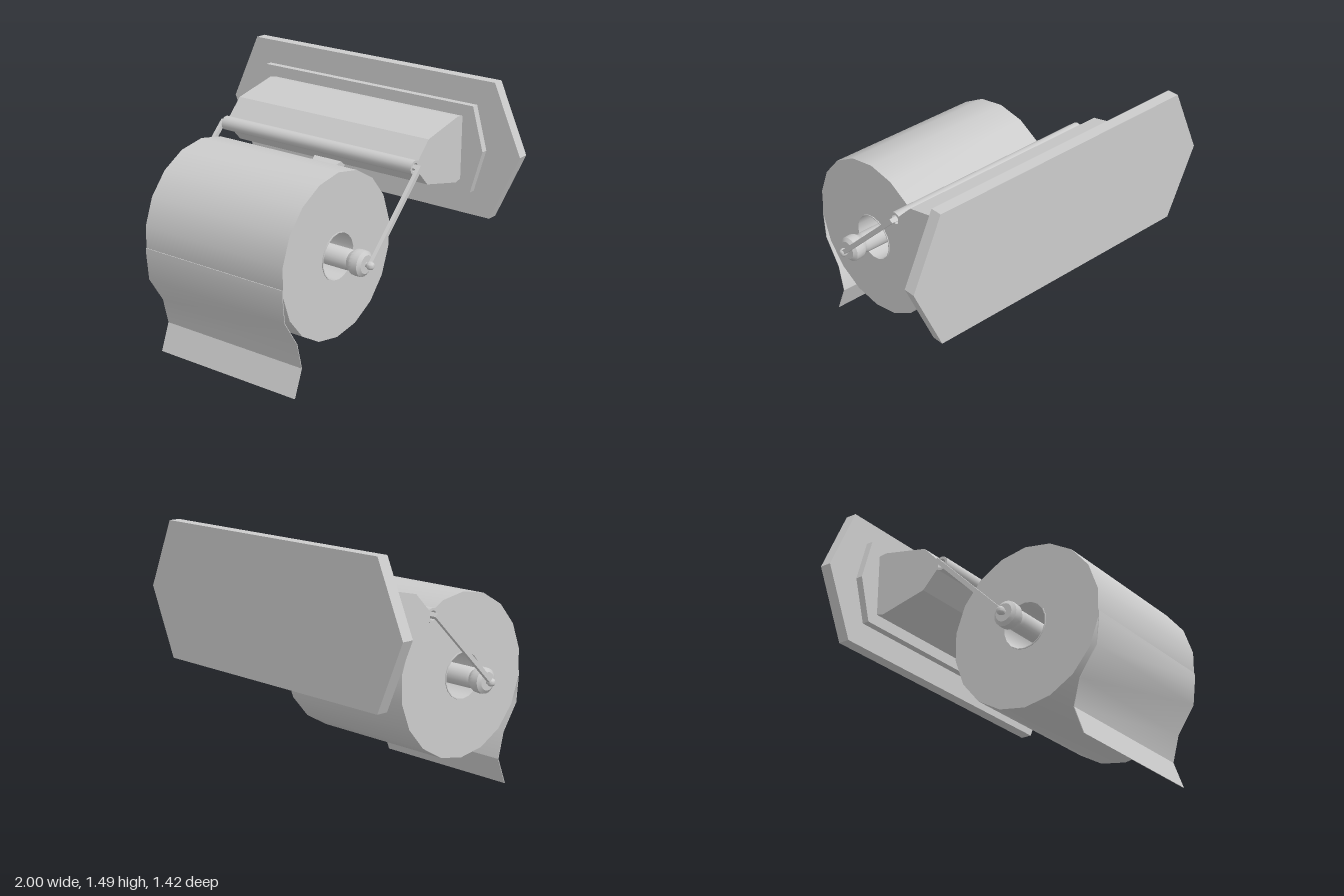
import * as THREE from 'three';
import { toCreasedNormals } from 'three/addons/utils/BufferGeometryUtils.js';

const ROLL_Y = 0.685, ROLL_Z = 0.255; // roll axis
const ROD_Y = 1.1, ROD_Z = -0.163;    // hinge axis

export function createModel() {
  const group = new THREE.Group();
  const material = new THREE.MeshStandardMaterial({ color: 0xcccccc });

  function add(name, geometry, x = 0, y = 0, z = 0, crease = 0.55) {
    const mesh = new THREE.Mesh(toCreasedNormals(geometry, crease), material);
    mesh.name = name;
    mesh.position.set(x, y, z);
    group.add(mesh);
    return mesh;
  }

  // Six-sided plate facing +z
  function plate(tipX, cornerX, halfHeight, depth) {
    const shape = new THREE.Shape([
      [tipX, 0], [cornerX, halfHeight], [-cornerX, halfHeight],
      [-tipX, 0], [-cornerX, -halfHeight], [cornerX, -halfHeight],
    ].map(([x, y]) => new THREE.Vector2(x, y)));
    return new THREE.ExtrudeGeometry(shape, { depth, bevelEnabled: false });
  }

  // Side profile of [z, y] points extruded across x
  function profile(points, width) {
    const shape = new THREE.Shape(points.map(([z, y]) => new THREE.Vector2(-z, y)));
    return new THREE.ExtrudeGeometry(shape, { depth: width, bevelEnabled: false })
      .translate(0, 0, -width / 2).rotateY(Math.PI / 2);
  }

  // Turned part around the x axis from [radius, x] points
  function turned(points, sides) {
    return new THREE.LatheGeometry(points.map(([r, h]) => new THREE.Vector2(r, h)), sides, Math.PI / 2)
      .rotateZ(Math.PI / 2);
  }

  function pipe(outer, inner, half, sides) {
    return turned([[inner, -half], [outer, -half], [outer, half], [inner, half], [inner, -half]], sides);
  }

  // Wall plates
  add('backPlate', plate(1, 0.825, 0.385, 0.065), 0, 1.1, -0.71);
  add('innerPlate', plate(0.79, 0.72, 0.245, 0.04), 0, 1.1, -0.645);

  // Wedge-shaped bracket and its hinge tube
  add('bracket', profile([
    [-0.605, 1.28], [-0.56, 1.287], [-0.283, 1.226], [-0.185, 1.124],
    [-0.185, 1.077], [-0.283, 0.975], [-0.56, 0.912], [-0.605, 0.922],
  ], 1.31), 0, 0, 0, 0.3);
  add('hingeTube', pipe(0.04, 0.026, 0.655, 20), 0, ROD_Y, ROD_Z);

  // Tapered brake tab pressing on the roll
  const tab = profile([[-0.29, 1.005], [-0.12, 0.922], [-0.12, 0.914], [-0.29, 0.963]], 0.2);
  const pos = tab.attributes.position;
  for (let i = 0; i < pos.count; i++) {
    if (pos.getZ(i) > -0.2) pos.setX(i, pos.getX(i) * 0.5);
  }
  add('brakeTab', tab);

  // Paper roll, cardboard core and hanging sheet
  add('paperRoll', pipe(0.46, 0.133, 0.47, 18), 0, ROLL_Y, ROLL_Z);
  add('core', pipe(0.134, 0.129, 0.475, 18), 0, ROLL_Y, ROLL_Z);
  const fall = [[0.708, 0.64], [0.708, 0.6], [0.692, 0.455], [0.591, 0.303], [0.553, 0.154], [0.611, 0]];
  const back = fall.map(([z, y]) => [z + 0.004, y]).reverse();
  add('hangingSheet', profile([...fall, ...back], 0.94), 0, 0, 0, 0.52);

  // Spindle with knobs
  const half = [[0.057, 0.545], [0.05, 0.56], [0.07, 0.59], [0.072, 0.615],
    [0.07, 0.64], [0.05, 0.655], [0.014, 0.655], [0.014, 0.69], [0, 0.69]];
  const mirrored = half.map(([r, x]) => [r, -x]).reverse();
  add('spindle', turned([...mirrored, ...half], 20), 0, ROLL_Y, ROLL_Z);

  // Wire arms on both sides
  const dy = ROLL_Y - ROD_Y, dz = ROLL_Z - ROD_Z;
  const tilt = Math.atan2(-dy, dz);
  for (const [side, s] of [['left', 1], ['right', -1]]) {
    const arm = add(side + 'Arm', new THREE.BoxGeometry(0.022, 0.025, Math.hypot(dy, dz) + 0.024),
      s * 0.68, (ROLL_Y + ROD_Y) / 2, (ROLL_Z + ROD_Z) / 2);
    arm.rotation.x = tilt;
    const stub = add(side + 'HingePin', new THREE.BoxGeometry(0.1, 0.025, 0.025), s * 0.64, ROD_Y, ROD_Z);
    stub.rotation.x = tilt;
    add(side + 'ArmEnd', new THREE.SphereGeometry(0.023, 14, 10), s * 0.68, ROLL_Y, ROLL_Z);
  }
  return group;
}
